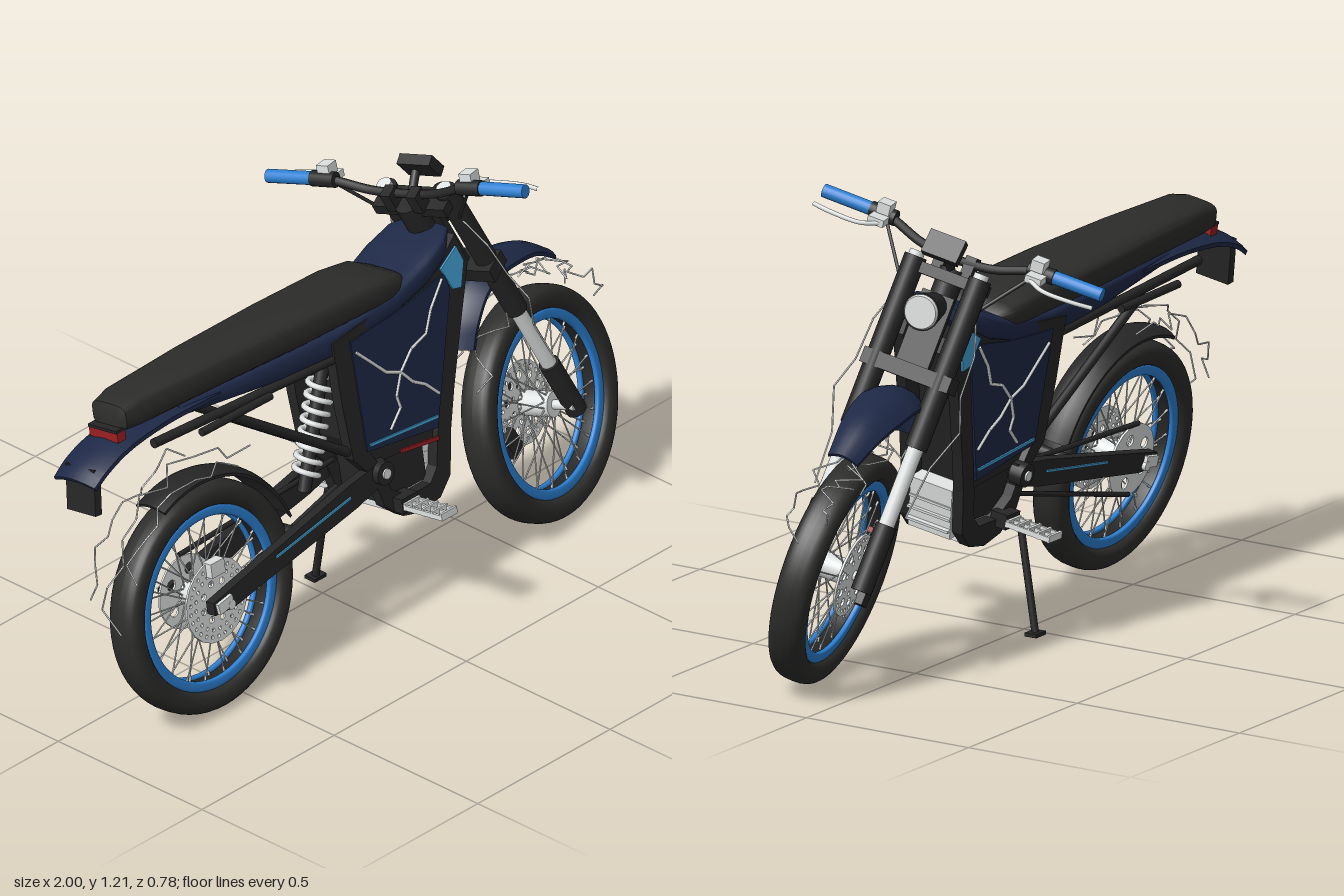
import * as THREE from 'three';
import { toCreasedNormals } from 'three/addons/utils/BufferGeometryUtils.js';

const mat = (name, color) => Object.assign(new THREE.MeshStandardMaterial({ color }), { name });
const V = (p) => new THREE.Vector3(...p);

export function createModel() {
  const black = mat('black', 0x262626), rubber = mat('rubber', 0x2c2c2b), navy = mat('navy', 0x1e2947),
    blue = mat('blue', 0x2b80d3), cyan = mat('cyan', 0x45a6da), silver = mat('silver', 0xdfe2e2),
    red = mat('red', 0x9a1f20);

  // ---- helpers ----
  const group = (parent, name) => {
    const g = new THREE.Group();
    g.name = name;
    parent.add(g);
    return g;
  };
  const add = (parent, name, geo, m, pos = [0, 0, 0], rz = 0) => {
    const mesh = new THREE.Mesh(geo, m);
    mesh.name = name;
    mesh.position.set(...pos);
    mesh.rotation.z = rz;
    parent.add(mesh);
    return mesh;
  };
  const box = (parent, name, m, size, pos, rz) => add(parent, name, new THREE.BoxGeometry(...size), m, pos, rz);
  const rod = (parent, name, m, a, b, r, r2 = r, seg = 16) => {
    const d = V(b).sub(V(a));
    const mesh = add(parent, name, new THREE.CylinderGeometry(r2, r, d.length(), seg), m);
    mesh.position.copy(V(a)).addScaledVector(d, 0.5);
    mesh.quaternion.setFromUnitVectors(new THREE.Vector3(0, 1, 0), d.normalize());
    return mesh;
  };
  const polyline = (parent, name, m, pts, r) => {
    const g = group(parent, name);
    for (let i = 1; i < pts.length; i++) rod(g, name + 'Segment', m, pts[i - 1], pts[i], r, r, 5);
  };
  const tube = (parent, name, m, pts, r, seg = 40) =>
    add(parent, name, new THREE.TubeGeometry(new THREE.CatmullRomCurve3(pts.map(V)), seg, r, 10), m);
  const plate = (parent, name, m, pts, z, depth, hole) => {
    const toV2 = (list) => list.map((p) => new THREE.Vector2(...p));
    const shape = new THREE.Shape(toV2(pts));
    if (hole) shape.holes.push(new THREE.Path(toV2(hole)));
    const geo = new THREE.ExtrudeGeometry(shape, { depth, bevelEnabled: false });
    return add(parent, name, geo, m, [0, 0, z - depth / 2]);
  };
  // Skin closed rings of points that run along +x, with capped ends
  const loft = (parent, name, m, rings) => {
    const n = rings[0].length, pos = rings.flat(2), idx = [];
    for (let i = 0; i < rings.length - 1; i++) for (let j = 0; j < n; j++) {
      const a = i * n + j, b = i * n + (j + 1) % n;
      idx.push(a, a + n, b, b, a + n, b + n);
    }
    const last = (rings.length - 1) * n;
    for (let j = 0; j < n / 2 - 1; j++) {
      const k = n - 1 - j;
      idx.push(j, j + 1, k, j + 1, k - 1, k);
      idx.push(last + j, last + k, last + j + 1, last + j + 1, last + k, last + k - 1);
    }
    const geo = new THREE.BufferGeometry();
    geo.setAttribute('position', new THREE.Float32BufferAttribute(pos, 3));
    geo.setIndex(idx);
    return add(parent, name, toCreasedNormals(geo, 0.7), m);
  };
  const pw = (v, e) => Math.sign(v) * Math.abs(v) ** e;
  const oval = ([x, y0, y1, w], e = 0.5) => Array.from({ length: 24 }, (_, i) => {
    const a = (i / 24) * Math.PI * 2;
    return [x, (y0 + y1) / 2 + pw(Math.sin(a), e) * (y1 - y0) / 2, pw(Math.cos(a), e) * w];
  });
  // Curved mudguard sheet along a side-view path of [x, y, halfWidth]
  const guard = (parent, name, m, path, t, droop) => {
    const curve = new THREE.CatmullRomCurve3(path.map(V));
    loft(parent, name, m, Array.from({ length: 25 }, (_, i) => {
      const p = curve.getPoint(i / 24), d = curve.getTangent(i / 24), l = Math.hypot(d.x, d.y);
      const row = (off) => [1, 0.7, 0.35, 0, -0.35, -0.7, -1].map((k) => {
        const h = -droop * p.z * k * k - off;
        return [p.x - d.y / l * h, p.y + d.x / l * h, p.z * k];
      });
      return [...row(0), ...row(t).reverse()];
    }));
  };
  const ring = (parent, name, m, rc, hr, hw, e, z = 0) => {
    const pts = Array.from({ length: 25 }, (_, i) => {
      const a = (i / 24) * Math.PI * 2;
      return new THREE.Vector2(rc + hr * pw(Math.cos(a), e), hw * pw(Math.sin(a), e));
    });
    return add(parent, name, new THREE.LatheGeometry(pts, 64).rotateX(Math.PI / 2), m, [0, 0, z]);
  };
  const disc = (parent, name, m, r, z, rows) => {
    const s = new THREE.Shape().absarc(0, 0, r, 0, Math.PI * 2);
    for (const [hr, count, size] of rows) for (let i = 0; i < count; i++) {
      const a = (i / count) * Math.PI * 2 + hr * 20;
      s.holes.push(new THREE.Path().absarc(hr * Math.cos(a), hr * Math.sin(a), size, 0, Math.PI * 2));
    }
    add(parent, name, new THREE.ExtrudeGeometry(s, { depth: 0.006, bevelEnabled: false, curveSegments: 10 }), m, [0, 0, z - 0.003]);
  };
  const wheel = (parent, name, x, y) => {
    const g = group(parent, name);
    g.position.set(x, y, 0);
    ring(g, 'tyre', rubber, 0.276, 0.033, 0.048, 0.75);
    ring(g, 'rimBarrel', black, 0.238, 0.01, 0.024, 0.5);
    for (const z of [-0.026, 0.026]) ring(g, 'rimFlange', blue, 0.234, 0.014, 0.008, 0.6, z);
    rod(g, 'hub', silver, [0, 0, -0.045], [0, 0, 0.045], 0.034, 0.034, 24);
    rod(g, 'axle', silver, [0, 0, -0.11], [0, 0, 0.11], 0.013);
    const spokes = group(g, 'spokes');
    for (let i = 0; i < 40; i++) {
      const a = (i / 40) * Math.PI * 2, b = a + (i % 4 < 2 ? 0.4 : -0.4), z = i % 2 ? 0.035 : -0.035, c = Math.cos(a), s = Math.sin(a);
      rod(spokes, 'spoke', silver, [0.034 * Math.cos(b), 0.034 * Math.sin(b), z], [0.228 * c, 0.228 * s, z * 0.3], 0.0022, 0.0022, 5);
      rod(spokes, 'spokeNipple', silver, [0.215 * c, 0.215 * s, z * 0.3], [0.229 * c, 0.229 * s, z * 0.3], 0.0035, 0.0035, 5);
    }
    return g;
  };
  let seed = 7;
  const rand = () => (seed = (seed * 16807) % 2147483647) / 2147483647 - 0.5;
  // Jagged spark trailing round a wheel
  const spark = (parent, cx, cy, a0, a1, r, z) => polyline(parent, 'spark', silver, Array.from({ length: 13 }, (_, i) => {
    const a = THREE.MathUtils.degToRad(a0 + (a1 - a0) * i / 12), q = r + rand() * 0.05;
    return [cx + q * Math.cos(a), cy + q * Math.sin(a), z + rand() * 0.08];
  }), 0.0024);

  // ---- whole bike leans on its stand ----
  const model = new THREE.Group();
  model.name = 'motorcycle';
  const bike = group(model, 'leaningBike');
  bike.rotation.x = -0.162;
  bike.position.set(0, 0.008, 0.175);

  // rear wheel, brake disc, sprocket and chain
  const rear = wheel(bike, 'rearWheel', -0.595, 0.307);
  disc(rear, 'brakeDisc', silver, 0.114, 0.052, [[0.098, 26, 0.005], [0.078, 20, 0.005], [0.052, 8, 0.009]]);
  disc(rear, 'sprocket', silver, 0.1, -0.056, [[0.062, 5, 0.015]]);
  box(rear, 'rearCaliper', silver, [0.05, 0.04, 0.03], [0.0, 0.095, 0.06]);
  for (const [y0, y1] of [[0.41, 0.435], [0.212, 0.36]]) rod(bike, 'chain', black, [-0.6, y0, -0.06], [-0.01, y1, -0.06], 0.007, 0.007, 6);

  // frame sides, swingarm, subframe
  const outline = [[-0.11, 0.84], [-0.105, 0.66], [-0.09, 0.5], [-0.03, 0.43], [0.0, 0.33], [0.06, 0.28], [0.13, 0.262], [0.2, 0.275],
    [0.245, 0.32], [0.268, 0.44], [0.3, 0.55], [0.35, 0.7], [0.405, 0.86], [0.37, 0.95], [0.3, 0.89]];
  const opening = [[-0.05, 0.81], [0.31, 0.85], [0.325, 0.81], [0.215, 0.43], [0.2, 0.36], [0.17, 0.325], [0.09, 0.325], [0.03, 0.37], [0.0, 0.45], [-0.04, 0.52]];
  for (const s of [1, -1]) {
    const side = group(bike, s > 0 ? 'sideA' : 'sideB');
    plate(side, 'frameSide', black, outline, s * 0.082, 0.032, opening);
    plate(side, 'sidePanel', navy, [[-0.05, 0.82], [0.15, 0.835], [0.315, 0.865], [0.325, 0.81], [0.22, 0.465], [-0.04, 0.505]], s * 0.094, 0.016);
    plate(side, 'headAccent', cyan, [[0.3, 0.88], [0.365, 0.92], [0.385, 0.87], [0.365, 0.803], [0.335, 0.81]], s * 0.1, 0.008);
    plate(side, 'panelStripe', cyan, [[-0.03, 0.524], [0.225, 0.5], [0.222, 0.492], [-0.03, 0.516]], s * 0.104, 0.004);
    for (const p of [
      [[0.3, 0.855], [0.246, 0.79], [0.219, 0.733], [0.16, 0.715], [0.112, 0.668], [0.06, 0.69], [0.01, 0.74], [-0.037, 0.786]],
      [[0.112, 0.668], [0.086, 0.61], [0.095, 0.575], [0.05, 0.53]], [[0.112, 0.668], [0.15, 0.625], [0.193, 0.6], [0.238, 0.555]],
    ]) polyline(side, 'panelCrack', silver, p.map(([x, y]) => [x, y, s * 0.103]), 0.0045);
    plate(side, 'swingArm', black, [[-0.65, 0.33], [-0.65, 0.295], [-0.58, 0.29], [-0.1, 0.37], [0.02, 0.4], [0.02, 0.46], [-0.12, 0.44], [-0.58, 0.345]], s * 0.085, 0.028);
    plate(side, 'swingArmStripe', cyan, [[-0.41, 0.364], [-0.12, 0.411], [-0.12, 0.405], [-0.41, 0.358]], s * 0.101, 0.005);
    box(side, 'axleBlock', silver, [0.055, 0.03, 0.012], [-0.615, 0.315, s * 0.103], 0.17);
    rod(side, 'swingArmPivot', black, [0, 0.43, s * 0.08], [0, 0.43, s * 0.118], 0.032);
    rod(side, 'pivotBolt', silver, [0, 0.43, s * 0.118], [0, 0.43, s * 0.123], 0.014);
    rod(side, 'subframeRail', black, [-0.76, 0.825, s * 0.07], [-0.08, 0.79, s * 0.085], 0.013);
    rod(side, 'grabRail', black, [-0.62, 0.805, s * 0.105], [-0.36, 0.8, s * 0.105], 0.011);
    rod(side, 'subframeStrut', black, [-0.5, 0.8, s * 0.075], [-0.09, 0.52, s * 0.08], 0.013);
    // footpeg: hollow tread with cross bars
    const peg = group(side, 'footPeg');
    for (const x of [0.036, 0.062, 0.088]) box(peg, 'pegBar', silver, [0.007, 0.014, 0.137], [x, 0.322, s * 0.197]);
    for (let i = 0; i < 5; i++) box(peg, 'pegTooth', silver, [0.058, 0.02, 0.007], [0.062, 0.324, s * (0.134 + i * 0.032)]);
    box(peg, 'pegMount', black, [0.06, 0.04, 0.05], [0.06, 0.325, s * 0.105]);
  }
  plate(bike, 'redTrim', red, [[0.08, 0.462], [0.218, 0.442], [0.218, 0.431], [0.08, 0.451]], 0.1, 0.006);
  rod(bike, 'crossBrace', black, [-0.3, 0.375, -0.08], [-0.3, 0.375, 0.08], 0.018);
  plate(bike, 'batteryBox', black, opening.slice(0, 4).concat([[0.0, 0.45], [-0.04, 0.52]]), 0, 0.16);
  box(bike, 'motorCover', black, [0.17, 0.12, 0.14], [0.1, 0.39, 0]);
  box(bike, 'motor', silver, [0.12, 0.14, 0.13], [0.2, 0.375, 0], -0.15);
  for (let i = 0; i < 4; i++) box(bike, 'motorFin', silver, [0.13, 0.007, 0.132], [0.202, 0.33 + i * 0.032, 0], -0.15);
  box(bike, 'motorSump', silver, [0.13, 0.05, 0.13], [0.135, 0.302, 0]);

  // shock absorber with coil spring, tucked behind the frame
  const shock = group(bike, 'shockAbsorber');
  rod(shock, 'damper', black, [-0.185, 0.43, 0], [-0.06, 0.74, 0], 0.018);
  tube(shock, 'spring', silver, Array.from({ length: 81 }, (_, i) => {
    const t = i / 80, a = t * Math.PI * 16;
    return [-0.172 + 0.1 * t + 0.03 * Math.cos(a), 0.47 + 0.235 * t - 0.011 * Math.cos(a), 0.033 * Math.sin(a)];
  }), 0.008, 200);

  // seat, cover, tail
  loft(bike, 'seat', rubber, [[-0.845, 0.895, 0.925, 0.045], [-0.835, 0.885, 0.955, 0.06], [-0.78, 0.88, 0.968, 0.068], [-0.5, 0.875, 0.966, 0.085],
    [-0.2, 0.865, 0.956, 0.1], [0.05, 0.86, 0.945, 0.104], [0.15, 0.855, 0.93, 0.1], [0.19, 0.86, 0.91, 0.08], [0.205, 0.87, 0.89, 0.05]].map((s) => oval(s)));
  loft(bike, 'bodyCover', navy, [[-0.64, 0.845, 0.88, 0.06], [-0.3, 0.803, 0.875, 0.085], [-0.07, 0.785, 0.868, 0.094], [0.13, 0.825, 0.885, 0.104],
    [0.25, 0.86, 0.93, 0.112], [0.33, 0.895, 0.96, 0.1], [0.375, 0.93, 0.965, 0.07]].map((s) => oval(s, 0.4)));
  guard(bike, 'tailGuard', navy, [[-1, 0.81, 0.072], [-0.95, 0.84, 0.074], [-0.86, 0.87, 0.074], [-0.7, 0.885, 0.072], [-0.5, 0.88, 0.072]], 0.012, 0.25);
  box(bike, 'tailLight', red, [0.03, 0.026, 0.1], [-0.85, 0.878, 0]);
  box(bike, 'tailLightHood', black, [0.035, 0.008, 0.1], [-0.85, 0.895, 0]);
  box(bike, 'numberPlate', black, [0.024, 0.125, 0.1], [-0.96, 0.765, 0], -0.12);
  guard(bike, 'rearHugger', black, Array.from({ length: 15 }, (_, i) => {
    const a = THREE.MathUtils.degToRad(114 - i * 6.8);
    return [-0.6 + 0.345 * Math.cos(a), 0.31 + 0.345 * Math.sin(a), 0.05];
  }), 0.008, 0.28);
  spark(bike, -0.6, 0.31, 172, 60, 0.385, 0.03);
  spark(bike, -0.6, 0.31, 160, 80, 0.37, -0.04);
  spark(bike, -0.6, 0.31, 150, 65, 0.345, 0.06);

  // side stand
  rod(bike, 'sideStand', black, [0.02, 0.32, -0.125], [0.04, 0.045, -0.232], 0.01);
  box(bike, 'standFoot', black, [0.045, 0.01, 0.035], [0.042, 0.042, -0.234]).rotation.x = 0.16;

  // ---- steered front end, turned about the raked steering axis ----
  const rake = 0.436, legX = (y) => 0.7 + (0.33 - y) * 0.466, axisX = (y) => legX(y) - 0.055;
  const pivot = group(bike, 'steering');
  pivot.position.set(axisX(0.95), 0.95, 0);
  pivot.quaternion.setFromAxisAngle(new THREE.Vector3(-Math.sin(rake), Math.cos(rake), 0), 0.211);
  const front = group(pivot, 'frontEnd');
  front.position.set(-axisX(0.95), -0.95, 0);

  const fw = wheel(front, 'frontWheel', 0.694, 0.309);
  disc(fw, 'brakeDisc', silver, 0.112, -0.052, [[0.097, 24, 0.006], [0.076, 10, 0.011], [0.05, 8, 0.007]]);
  box(fw, 'frontCaliper', black, [0.05, 0.07, 0.04], [-0.09, -0.075, -0.055], 0.5);
  box(fw, 'caliperClip', red, [0.03, 0.015, 0.02], [-0.05, 0.115, -0.06], 0.4);
  rod(front, 'headTube', black, [axisX(0.8), 0.8, 0], [axisX(1.04), 1.04, 0], 0.036);
  for (const s of [1, -1]) {
    const leg = (name, m, y0, y1, r) => rod(front, name, m, [legX(y0), y0, s * 0.092], [legX(y1), y1, s * 0.092], r, r, 20);
    leg('forkUpper', black, 0.64, 1.06, 0.03);
    leg('forkSlider', silver, 0.43, 0.65, 0.021);
    leg('forkFoot', black, 0.285, 0.45, 0.028);
    leg('forkCap', silver, 1.06, 1.073, 0.02);
  }
  box(front, 'lowerClamp', black, [0.075, 0.042, 0.25], [legX(0.8) - 0.01, 0.8, 0], rake);
  box(front, 'upperClamp', black, [0.075, 0.03, 0.22], [legX(1.03) - 0.025, 1.03, 0], rake);
  box(front, 'forkCover', black, [0.02, 0.2, 0.09], [legX(0.9) - 0.015, 0.9, 0], rake);

  // headlight and display
  rod(front, 'headlightShell', black, [0.4, 0.965, 0], [0.489, 0.975, 0], 0.035, 0.05, 28);
  rod(front, 'headlightLens', silver, [0.488, 0.975, 0], [0.497, 0.976, 0], 0.047, 0.043, 28);
  box(front, 'display', black, [0.03, 0.065, 0.1], [0.38, 1.118, 0.015], 0.7);
  rod(front, 'displayStem', black, [0.33, 1.04, 0], [0.38, 1.11, 0], 0.012);

  // handlebar, grips, levers
  tube(front, 'handlebar', black, [[0.285, 1.107, -0.39], [0.288, 1.107, -0.22], [0.305, 1.075, -0.1], [0.31, 1.068, 0], [0.305, 1.075, 0.1], [0.288, 1.107, 0.22], [0.285, 1.107, 0.39]], 0.012);
  for (const s of [1, -1]) {
    rod(front, 'grip', blue, [0.287, 1.107, s * 0.262], [0.285, 1.107, s * 0.398], 0.018);
    rod(front, 'switchgear', black, [0.288, 1.106, s * 0.19], [0.287, 1.107, s * 0.262], 0.021);
    box(front, 'fluidReservoir', silver, [0.04, 0.03, 0.036], [0.3, 1.132, s * 0.22]);
    box(front, 'leverMount', silver, [0.05, 0.02, 0.045], [0.32, 1.102, s * 0.225]);
    tube(front, 'lever', silver, [[0.34, 1.1, s * 0.215], [0.36, 1.092, s * 0.26], [0.358, 1.09, s * 0.34], [0.342, 1.088, s * 0.398]], 0.006);
    box(front, 'barClamp', black, [0.04, 0.06, 0.03], [0.305, 1.055, s * 0.04], rake);
    rod(front, 'controlCable', black, [0.3, 1.095, s * 0.21], [0.38, 0.97, s * 0.1], 0.005, 0.005, 6);
    polyline(front, 'forkSpark', silver, [[0.38, 0.97, s * 0.11], [0.42, 0.88, s * 0.145], [0.47, 0.78, s * 0.15], [0.5, 0.7, s * 0.18], [0.55, 0.6, s * 0.14], [0.62, 0.48, s * 0.13]], 0.0025);
  }

  // front mudguard and sparks
  guard(front, 'frontMudguard', navy, [[0.375, 0.6, 0.05], [0.4, 0.675, 0.062], [0.46, 0.745, 0.07], [0.55, 0.778, 0.075], [0.65, 0.772, 0.072], [0.75, 0.742, 0.06], [0.845, 0.68, 0.042]], 0.01, 0.45);
  spark(front, 0.695, 0.312, 152, 105, 0.36, 0.05);
  spark(front, 0.695, 0.312, 85, 28, 0.36, 0.03);
  spark(front, 0.695, 0.312, 75, 40, 0.35, -0.03);
  spark(front, 0.695, 0.312, 140, 60, 0.335, -0.05);

  return model;
}
